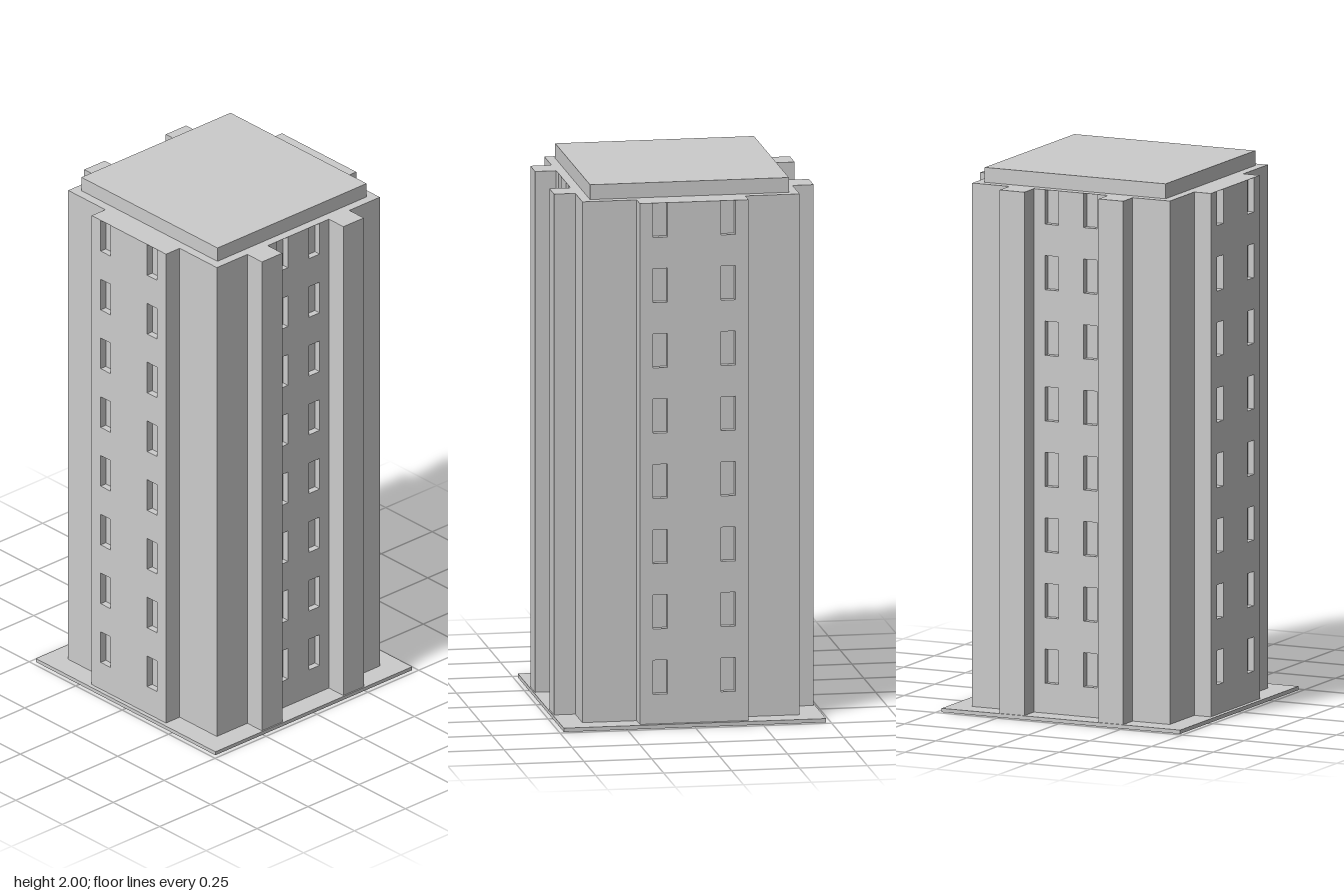
import * as THREE from 'three';

const material = new THREE.MeshStandardMaterial({ color: 0xcccccc, flatShading: true });
const BASE = 0.014, ROOF = 1.945, RECESS = 0.025;

function add(parent, name, geometry, x = 0, y = 0, z = 0) {
  const mesh = new THREE.Mesh(geometry, material);
  mesh.name = name;
  mesh.position.set(x, y, z);
  parent.add(mesh);
  return mesh;
}

function rectangle(PathType, x0, y0, x1, y1) {
  const p = new PathType();
  p.moveTo(x0, y0);
  p.lineTo(x1, y0);
  p.lineTo(x1, y1);
  p.lineTo(x0, y1);
  p.closePath();
  return p;
}

// Wall panel pierced by two columns of eight window openings
function windowWall(halfWidth, windowX) {
  const shape = rectangle(THREE.Shape, -halfWidth, BASE, halfWidth, ROOF);
  for (let floor = 0; floor < 8; floor++) {
    const y = 0.124 + floor * 0.242;
    const top = Math.min(y + 0.126, ROOF - 0.001);
    for (const x of [-windowX, windowX]) {
      shape.holes.push(rectangle(THREE.Path, x - 0.0265, y, x + 0.0265, top));
    }
  }
  return new THREE.ExtrudeGeometry(shape, { depth: RECESS, bevelEnabled: false });
}

// Tower plan: one quarter with side bay, corner and pier, mirrored to all four
function towerPlan() {
  const bay = 0.467 - RECESS, front = 0.4 - RECESS;
  const quarter = [
    [bay, 0.2], [0.4, 0.2], [0.4, 0.4], [0.25, 0.4],
    [0.25, 0.478], [0.15, 0.478], [0.15, front],
  ];
  const half = [...quarter, ...quarter.map(([x, z]) => [-x, z]).reverse()];
  const all = [...half, ...half.map(([x, z]) => [-x, -z])];
  return new THREE.Shape(all.map(([x, z]) => new THREE.Vector2(x, z)));
}

export function createModel() {
  const model = new THREE.Group();
  model.name = 'towerBlock';

  // Ground plate
  add(model, 'basePlate', new THREE.BoxGeometry(0.966, BASE, 0.966), 0, BASE / 2, 0);

  // Tower body with piers and side bays
  const body = new THREE.ExtrudeGeometry(towerPlan(), { depth: ROOF - BASE, bevelEnabled: false });
  body.rotateX(-Math.PI / 2);
  add(model, 'towerBody', body, 0, BASE, 0);

  // Window walls in front of the recessed panes, one per side
  const faceWall = windowWall(0.15, 0.078);
  const bayWall = windowWall(0.2, 0.125);
  const names = ['frontWindowWall', 'leftWindowWall', 'backWindowWall', 'rightWindowWall'];
  names.forEach((name, i) => {
    const isBay = i % 2 === 1;
    const distance = (isBay ? 0.467 : 0.4) - RECESS;
    const angle = i * Math.PI / 2;
    const wall = add(model, name, isBay ? bayWall : faceWall,
      Math.sin(angle) * distance, 0, Math.cos(angle) * distance);
    wall.rotation.y = angle;
  });

  // Raised roof slab
  add(model, 'roofSlab', new THREE.BoxGeometry(0.732, 2 - ROOF, 0.732), 0, (2 + ROOF) / 2, 0);

  return model;
}
